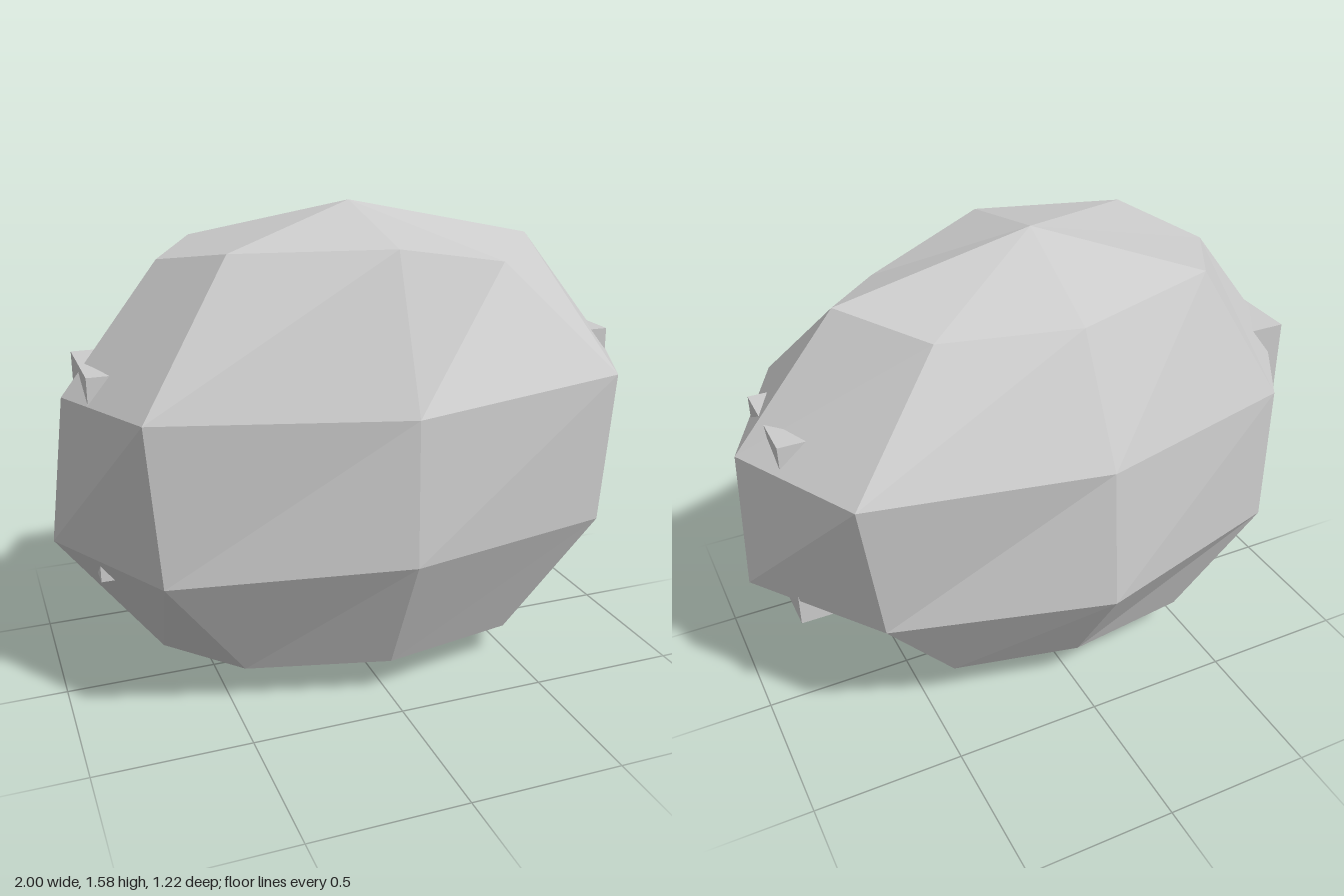
import * as THREE from 'three';

// Eight corners per ring, from +x round by the front (+z): [x, y, z]
const RINGS = [
  [[0.6, 0.2, 0], [0.47, 0.115, 0.29], [0, 0.13, 0.4], [-0.46, 0.13, 0.28],
    [-0.67, 0.11, 0], [-0.45, 0.13, -0.28], [0, 0.165, -0.37], [0.42, 0.16, -0.27]],
  [[1, 0.55, 0], [0.72, 0.545, 0.44], [0, 0.555, 0.605], [-0.74, 0.54, 0.45],
    [-1, 0.55, 0], [-0.68, 0.55, -0.41], [0, 0.55, -0.61], [0.69, 0.55, -0.42]],
  [[0.98, 1.025, 0], [0.75, 1.045, 0.455], [0, 1.02, 0.595], [-0.78, 1.055, 0.475],
    [-0.94, 1.02, 0], [-0.68, 1.03, -0.41], [0, 1.015, -0.57], [0.76, 1.045, -0.46]],
  [[0.64, 1.44, 0], [0.43, 1.395, 0.26], [0, 1.485, 0.42], [-0.48, 1.48, 0.295],
    [-0.625, 1.425, 0], [-0.46, 1.45, -0.28], [0, 1.395, -0.36], [0.43, 1.395, -0.26]],
];

// Joins the rings with quads and closes both ends with a fan
function boulderGeometry(rings, bottomY, topY) {
  const n = rings[0].length;
  const points = [...rings.flat(), [0, bottomY, 0], [0, topY, 0]];
  const bottom = points.length - 2, top = points.length - 1;
  const index = [];
  for (let i = 0; i < n; i++) {
    const j = (i + 1) % n;
    for (let r = 0; r < rings.length - 1; r++) {
      const a = r * n + i, b = r * n + j, c = b + n, d = a + n;
      index.push(b, a, d, b, d, c);
    }
    const last = (rings.length - 1) * n;
    index.push(bottom, i, j, top, last + j, last + i);
  }
  const geometry = new THREE.BufferGeometry();
  geometry.setAttribute('position', new THREE.Float32BufferAttribute(points.flat(), 3));
  geometry.setIndex(index);
  const faceted = geometry.toNonIndexed();
  faceted.computeVertexNormals();
  return faceted;
}

export function createModel() {
  const model = new THREE.Group();
  model.name = 'boulder';
  const material = new THREE.MeshStandardMaterial({ color: 0xcccccc, flatShading: true });

  // Faceted stone
  const stone = new THREE.Mesh(boulderGeometry(RINGS, 0, 1.577), material);
  stone.name = 'stone';

  // Block through the middle, whose corners just break the surface at both ends
  const core = new THREE.Mesh(new THREE.BoxGeometry(1.767, 0.66, 0.326), material);
  core.name = 'coreBlock';
  core.position.set(0.002, 0.79, 0.002);

  model.add(stone, core);
  return model;
}
